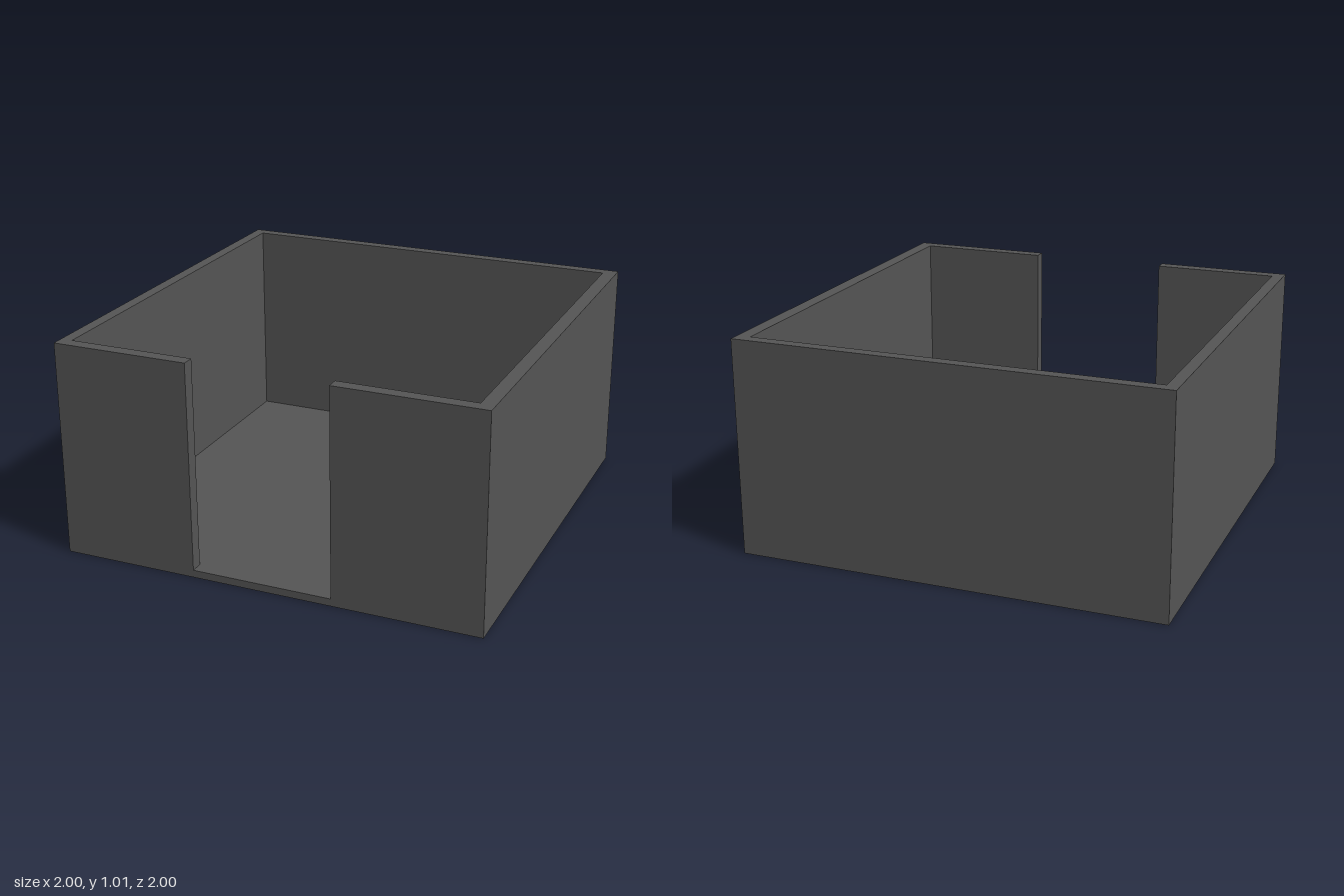
import * as THREE from 'three';

const HEIGHT = 1.015, FLOOR = 0.035;

export function createModel() {
  const group = new THREE.Group();
  group.name = 'openRoom';
  const darkGrey = new THREE.MeshStandardMaterial({ color: 0x555555 });
  darkGrey.name = 'darkGrey';

  // Floor slab
  const floor = new THREE.Mesh(new THREE.BoxGeometry(2, FLOOR, 2), darkGrey);
  floor.name = 'floor';
  floor.position.y = FLOOR / 2;
  group.add(floor);

  // One continuous wall around the room, open at the doorway; plan points are [x, z]
  const plan = [
    [-0.355, 1], [-0.355, 0.94], [-0.945, 0.94], [-0.945, -0.945],
    [0.935, -0.945], [0.935, 0.94], [0.31, 0.94], [0.31, 1],
    [1, 1], [1, -1], [-1, -1], [-1, 1],
  ];
  const outline = new THREE.Shape(plan.map(([x, z]) => new THREE.Vector2(x, -z)));
  const wallGeometry = new THREE.ExtrudeGeometry(outline, { depth: HEIGHT - FLOOR, bevelEnabled: false });
  wallGeometry.rotateX(-Math.PI / 2);
  const walls = new THREE.Mesh(wallGeometry, darkGrey);
  walls.name = 'walls';
  walls.position.y = FLOOR;
  group.add(walls);

  return group;
}
